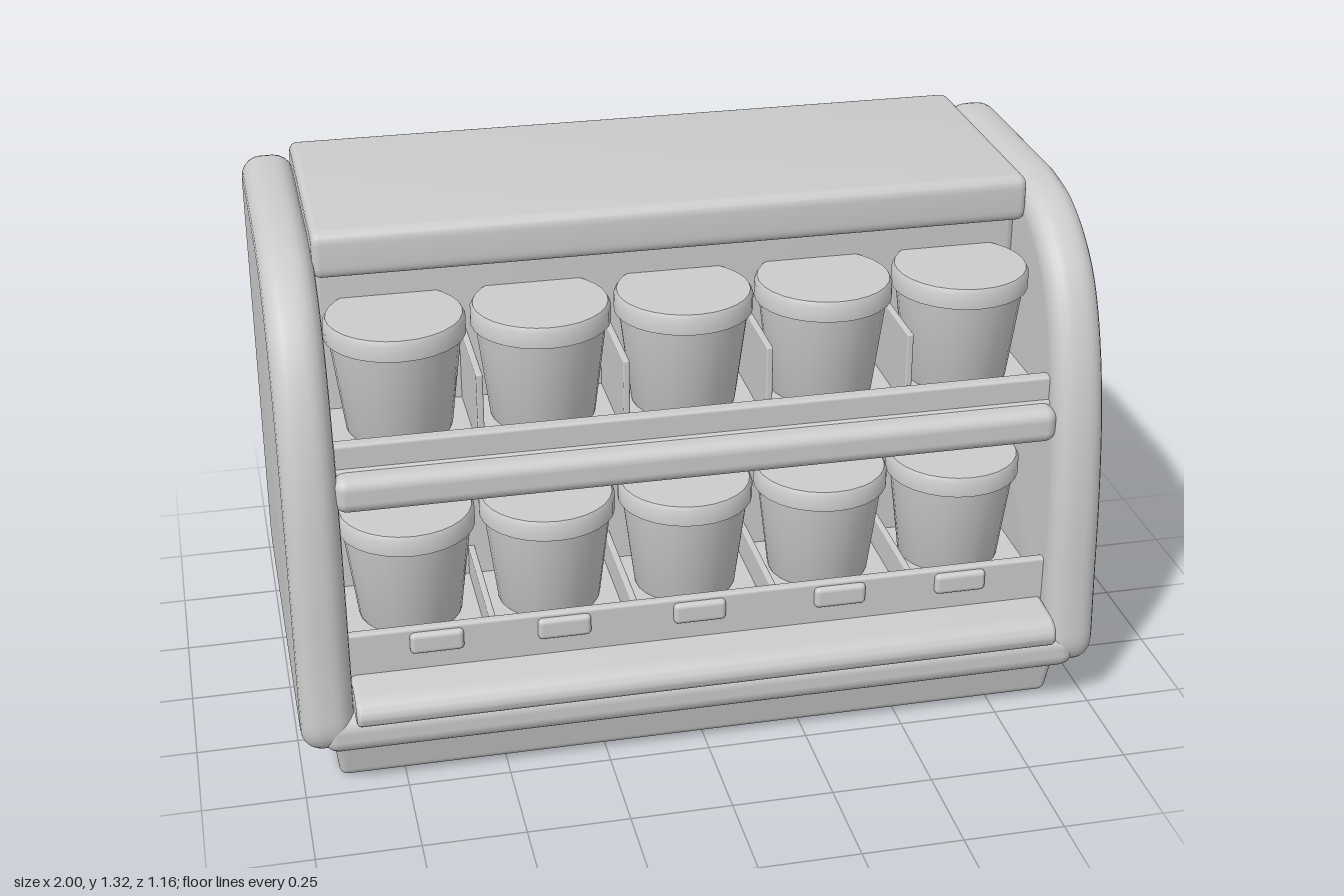
import * as THREE from 'three';
import { toCreasedNormals } from 'three/addons/utils/BufferGeometryUtils.js';
import { RoundedBoxGeometry } from 'three/addons/geometries/RoundedBoxGeometry.js';

const material = new THREE.MeshStandardMaterial({ color: 0xcccccc });

function add(group, name, geometry, x = 0, y = 0, z = 0) {
  const mesh = new THREE.Mesh(geometry, material);
  mesh.name = name;
  mesh.position.set(x, y, z);
  group.add(mesh);
  return mesh;
}

// Box given by its limits, with rounded edges
function block(group, name, [x0, x1], [y0, y1], [z0, z1], radius = 0.01) {
  const geometry = new RoundedBoxGeometry(x1 - x0, y1 - y0, z1 - z0, 3, radius);
  return add(group, name, geometry, (x0 + x1) / 2, (y0 + y1) / 2, (z0 + z1) / 2);
}

// Extrude a (z, y) profile along x, centred, with rounded rims
function extrudeAcross(shape, width, bevel) {
  const geometry = new THREE.ExtrudeGeometry(shape, {
    depth: width - 2 * bevel, bevelThickness: bevel, bevelSize: bevel,
    bevelOffset: -bevel, bevelSegments: 5, curveSegments: 8,
  });
  geometry.translate(0, 0, -(width - 2 * bevel) / 2);
  geometry.rotateY(-Math.PI / 2);
  return toCreasedNormals(geometry, 0.7);
}

// End panel with a bowed front
function sideProfile() {
  const s = new THREE.Shape();
  s.moveTo(-0.47, 0.12);
  s.lineTo(0.45, 0.12);
  s.quadraticCurveTo(0.53, 0.125, 0.525, 0.21);
  s.splineThru([[0.515, 0.35], [0.5, 0.58], [0.47, 0.8], [0.42, 0.98], [0.35, 1.12],
    [0.26, 1.21], [0.15, 1.27], [0.02, 1.295]].map(p => new THREE.Vector2(...p)));
  s.lineTo(-0.43, 1.298);
  s.quadraticCurveTo(-0.51, 1.295, -0.525, 1.21);
  s.quadraticCurveTo(-0.555, 0.8, -0.56, 0.22);
  s.quadraticCurveTo(-0.56, 0.13, -0.47, 0.12);
  return s;
}

// Roof, back and inner wall as one hooked profile
function bodyProfile() {
  const s = new THREE.Shape();
  s.moveTo(0.08, 0.14);
  s.lineTo(0.08, 1.2);
  s.lineTo(0.13, 1.2);
  s.quadraticCurveTo(0.152, 1.2, 0.152, 1.23);
  s.lineTo(0.152, 1.285);
  s.quadraticCurveTo(0.15, 1.315, 0.12, 1.315);
  s.lineTo(-0.47, 1.315);
  s.quadraticCurveTo(-0.53, 1.312, -0.545, 1.23);
  s.quadraticCurveTo(-0.575, 0.85, -0.58, 0.19);
  s.quadraticCurveTo(-0.58, 0.145, -0.54, 0.14);
  s.closePath();
  return s;
}

// Tapered cup with an overhanging lid
function cupGeometry(height, radius) {
  const points = [
    [0, 0], [radius * 0.72, 0], [radius * 0.76, 0.015], [radius * 0.93, height - 0.055],
    [radius, height - 0.05], [radius, height - 0.012], [radius * 0.96, height], [0, height],
  ].map(p => new THREE.Vector2(...p));
  return toCreasedNormals(new THREE.LatheGeometry(points, 28), 0.6);
}

// One row of five cups with dividers between them
function cupRow(name, bottom, top, z, dividerTop, dividerFront) {
  const row = new THREE.Group();
  row.name = name;
  const cup = cupGeometry(top - bottom, 0.168);
  for (let i = -2; i <= 2; i++) add(row, 'cup', cup, i * 0.348, bottom, z);
  for (const x of [-0.522, -0.174, 0.174, 0.522]) {
    block(row, 'divider', [x - 0.008, x + 0.008], [bottom - 0.02, dividerTop], [0.06, dividerFront], 0.004);
  }
  return row;
}

export function createModel() {
  const model = new THREE.Group();
  model.name = 'cupDisplayCase';

  // Plinth, narrowing towards the ground
  const plinth = new RoundedBoxGeometry(1.85, 0.16, 0.97, 4, 0.02);
  const p = plinth.attributes.position;
  for (let i = 0; i < p.count; i++) {
    const k = 1 - 0.035 * (0.08 - p.getY(i)) / 0.16;
    p.setX(i, p.getX(i) * (0.5 + k / 2));
    p.setZ(i, p.getZ(i) * (2 * k - 1));
  }
  plinth.computeVertexNormals();
  add(model, 'plinth', plinth, 0, 0.08, -0.02);

  // Casing
  block(model, 'floorFrame', [-0.95, 0.95], [0.12, 0.22], [-0.53, 0.525], 0.04);
  add(model, 'roofAndBack', extrudeAcross(bodyProfile(), 1.75, 0.02));
  const side = extrudeAcross(sideProfile(), 0.13, 0.05);
  for (const sign of [-1, 1]) {
    add(model, sign > 0 ? 'leftSide' : 'rightSide', side, sign * 0.935);
  }

  // Lower tray with clips on its front
  const across = [-0.88, 0.88];
  block(model, 'lowerShelf', across, [0.2, 0.33], [0.06, 0.44]);
  block(model, 'lowerTrayFront', across, [0.29, 0.41], [0.425, 0.45], 0.008);
  for (const x of [-0.66, -0.35, -0.015, 0.34, 0.65]) {
    block(model, 'trayClip', [x - 0.065, x + 0.065], [0.345, 0.4], [0.43, 0.465], 0.012);
  }
  model.add(cupRow('lowerCups', 0.32, 0.62, 0.215, 0.41, 0.43));

  // Pull bar along the bottom of the opening
  const bar = new THREE.Shape();
  bar.moveTo(0.44, 0.215);
  bar.lineTo(0.535, 0.215);
  bar.quadraticCurveTo(0.582, 0.225, 0.58, 0.255);
  bar.quadraticCurveTo(0.575, 0.29, 0.53, 0.295);
  bar.lineTo(0.44, 0.3);
  bar.closePath();
  add(model, 'pullBar', extrudeAcross(bar, 1.74, 0.012));

  // Upper shelf with its lip and rounded rail
  block(model, 'upperShelf', across, [0.745, 0.83], [0.06, 0.41]);
  block(model, 'upperTrayLip', across, [0.77, 0.89], [0.365, 0.4], 0.008);
  block(model, 'middleRail', across, [0.735, 0.825], [0.37, 0.458], 0.03);
  model.add(cupRow('upperCups', 0.82, 1.12, 0.192, 1.02, 0.36));

  return model;
}
